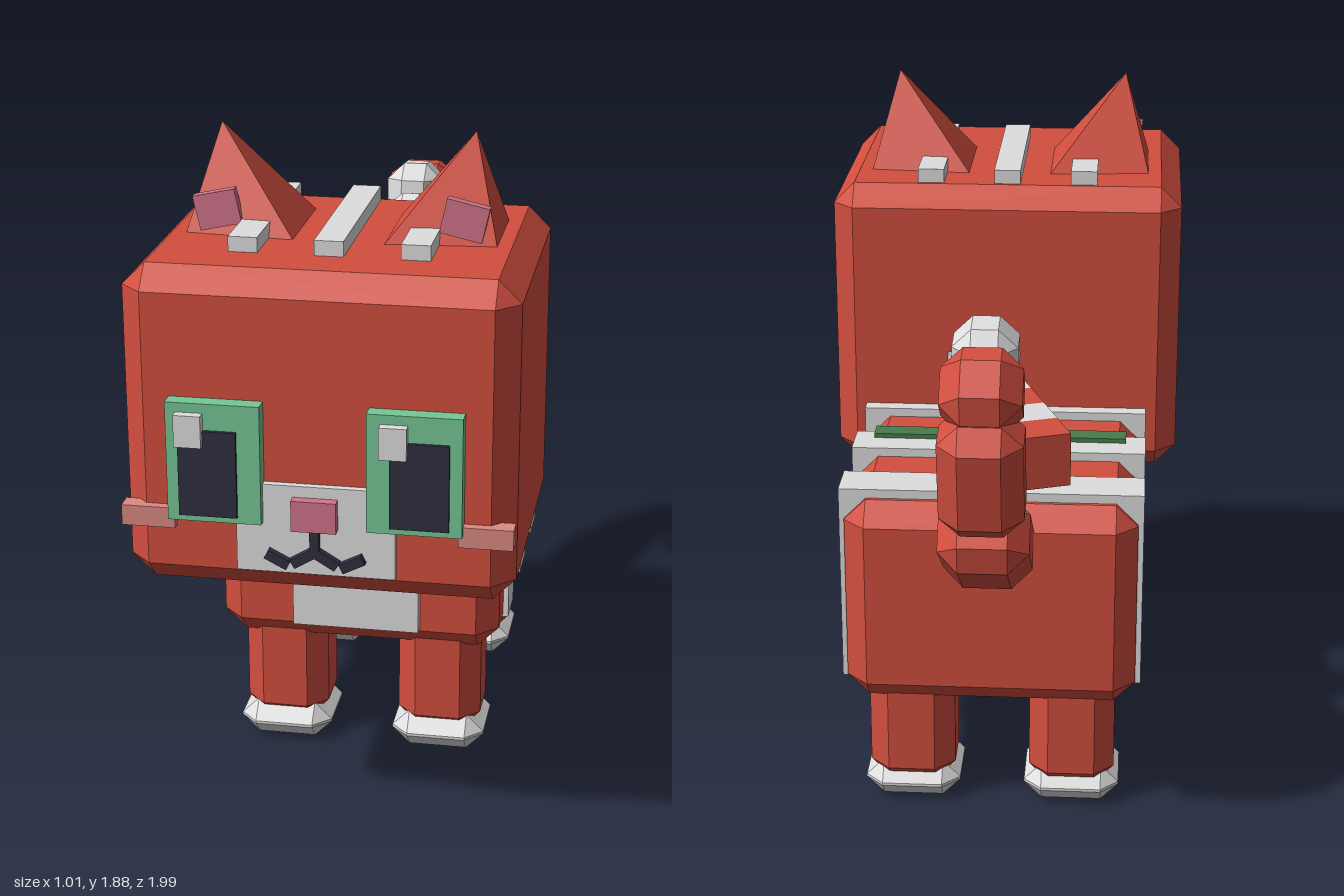
import * as THREE from 'three';
import { ConvexGeometry } from 'three/addons/geometries/ConvexGeometry.js';

const paint = (name, color) => {
  const m = new THREE.MeshStandardMaterial({ color });
  m.name = name;
  return m;
};

// Box with flat chamfers on every edge and corner
function chamferBox(w, h, d, r) {
  const pts = [];
  const [a, b, c] = [w / 2, h / 2, d / 2];
  for (const x of [-1, 1]) for (const y of [-1, 1]) for (const z of [-1, 1]) {
    pts.push(
      new THREE.Vector3(x * a, y * (b - r), z * (c - r)),
      new THREE.Vector3(x * (a - r), y * b, z * (c - r)),
      new THREE.Vector3(x * (a - r), y * (b - r), z * c));
  }
  return new ConvexGeometry(pts);
}

export function createModel() {
  const red = paint('red fur', 0xd24e3f);
  const white = paint('white fur', 0xdedede);
  const green = paint('eye green', 0x76c695);
  const darkGreen = paint('dark green', 0x467d4d);
  const dark = paint('dark pupil', 0x303041);
  const pink = paint('pink', 0xd0748b);
  const blush = paint('blush', 0xdb8a82);

  const model = new THREE.Group();
  model.name = 'cat';

  const add = (name, geometry, material, x = 0, y = 0, z = 0) => {
    const mesh = new THREE.Mesh(geometry, material);
    mesh.name = name;
    mesh.position.set(x, y, z);
    model.add(mesh);
    return mesh;
  };
  // Boxes given by their limits on each axis
  const box = (name, mat, [x0, x1], [y0, y1], [z0, z1]) => add(name,
    new THREE.BoxGeometry(x1 - x0, y1 - y0, z1 - z0), mat,
    (x0 + x1) / 2, (y0 + y1) / 2, (z0 + z1) / 2);
  const chamfered = (name, mat, [x0, x1], [y0, y1], [z0, z1], r) => add(name,
    chamferBox(x1 - x0, y1 - y0, z1 - z0, r), mat,
    (x0 + x1) / 2, (y0 + y1) / 2, (z0 + z1) / 2);

  // Body, chest patch and wrap-around bands
  chamfered('body', red, [-0.4, 0.4], [0.34, 0.93], [-0.61, 0.36], 0.06);
  box('chestPatch', white, [-0.18, 0.18], [0.41, 0.83], [0.33, 0.395]);
  for (const z of [0.14, -0.175, -0.475]) {
    box('bodyBand', white, [-0.415, 0.415], [0.39, 0.955], [z - 0.064, z + 0.064]);
  }

  // Head with raised stripes
  chamfered('head', red, [-0.505, 0.505], [0.76, 1.615], [0.12, 0.93], 0.06);
  for (const x of [-0.222, 0, 0.222]) {
    box('headStripe', white, [x - 0.038, x + 0.038], [1.59, 1.655], [0.19, 0.745]);
  }

  // Ears and cheeks
  for (const s of [-1, 1]) {
    const ear = [
      [0.41, 1.605, 0.325], [0.112, 1.605, 0.3], [0.112, 1.605, 0.62],
      [0.41, 1.605, 0.595], [0.335, 1.885, 0.465],
    ].map(([x, y, z]) => new THREE.Vector3(s * x, y, z));
    add('ear', new ConvexGeometry(ear), red);
    const inner = add('innerEar', new THREE.BoxGeometry(0.113, 0.093, 0.03), pink, s * 0.323, 1.68, 0.58);
    inner.rotation.z = -s * 0.22;
    add('cheek', new THREE.BoxGeometry(0.14, 0.055, 0.05), blush, s * 0.435, 0.962, 0.93);
  }

  // Eyes: both glints sit on the same side
  for (const s of [-1, 1]) {
    const x = s * 0.256, px = s * 0.27;
    box('eye', green, [x - 0.121, x + 0.121], [0.967, 1.285], [0.92, 0.974]);
    box('pupil', dark, [px - 0.075, px + 0.075], [0.985, 1.215], [0.95, 0.984]);
    const gx = s < 0 ? -0.315 : 0.205;
    box('eyeGlint', white, [gx - 0.035, gx + 0.035], [1.175, 1.26], [0.96, 1]);
  }

  // Muzzle, nose and mouth
  box('muzzle', white, [-0.205, 0.205], [0.83, 1.07], [0.91, 0.95]);
  box('nose', pink, [-0.058, 0.058], [0.957, 1.04], [0.93, 0.978]);
  box('mouthLine', dark, [-0.012, 0.012], [0.885, 0.965], [0.93, 0.97]);
  const mouthStroke = (x0, y0, x1, y1) => {
    const stroke = add('mouthStroke',
      new THREE.BoxGeometry(Math.hypot(x1 - x0, y1 - y0), 0.026, 0.04), dark,
      (x0 + x1) / 2, (y0 + y1) / 2, 0.95);
    stroke.rotation.z = Math.atan2(y1 - y0, x1 - x0);
  };
  for (const s of [-1, 1]) {
    mouthStroke(0, 0.897, s * 0.058, 0.862);
    mouthStroke(s * 0.068, 0.857, s * 0.125, 0.886);
  }

  // Legs and paws
  for (const x of [-0.225, 0.225]) for (const z of [0.197, -0.437]) {
    chamfered('leg', red, [x - 0.12, x + 0.12], [0.05, 0.42], [z - 0.118, z + 0.118], 0.055);
    const pz = z + 0.012;
    chamfered('paw', white, [x - 0.134, x + 0.134], [0, 0.108], [pz - 0.134, pz + 0.134], 0.05);
  }

  // Cross strap and the slanted striped bar over the back
  box('backStrap', darkGreen, [-0.36, 0.36], [0.91, 0.968], [-0.16, -0.1]);
  const slant = Math.PI / 9, step = 0.122;
  for (let i = 0; i < 6; i++) {
    const t = (i + 0.5) * step;
    const seg = add('stripedBar', new THREE.BoxGeometry(0.147, 0.15, step), i % 2 ? white : red,
      -0.145 + t * Math.sin(slant), 1.045, -0.535 + t * Math.cos(slant));
    seg.rotation.y = slant;
  }

  // Curling tail: width, length, thickness, chamfer, y, z, pitch in degrees
  const tail = [
    [0.24, 0.33, 0.215, 0.055, 0.893, -0.72, -55, red],
    [0.22, 0.33, 0.205, 0.055, 1.15, -0.87, -11, red],
    [0.21, 0.21, 0.19, 0.055, 1.36, -0.85, 40, red],
    [0.17, 0.18, 0.165, 0.05, 1.415, -0.7, 82, white],
    [0.14, 0.15, 0.14, 0.045, 1.353, -0.595, 120, white],
  ];
  for (const [w, l, d, r, y, z, pitch, mat] of tail) {
    const seg = add(mat === red ? 'tail' : 'tailTip', chamferBox(w, l, d, r), mat, 0, y, z);
    seg.rotation.x = THREE.MathUtils.degToRad(pitch);
  }

  return model;
}
